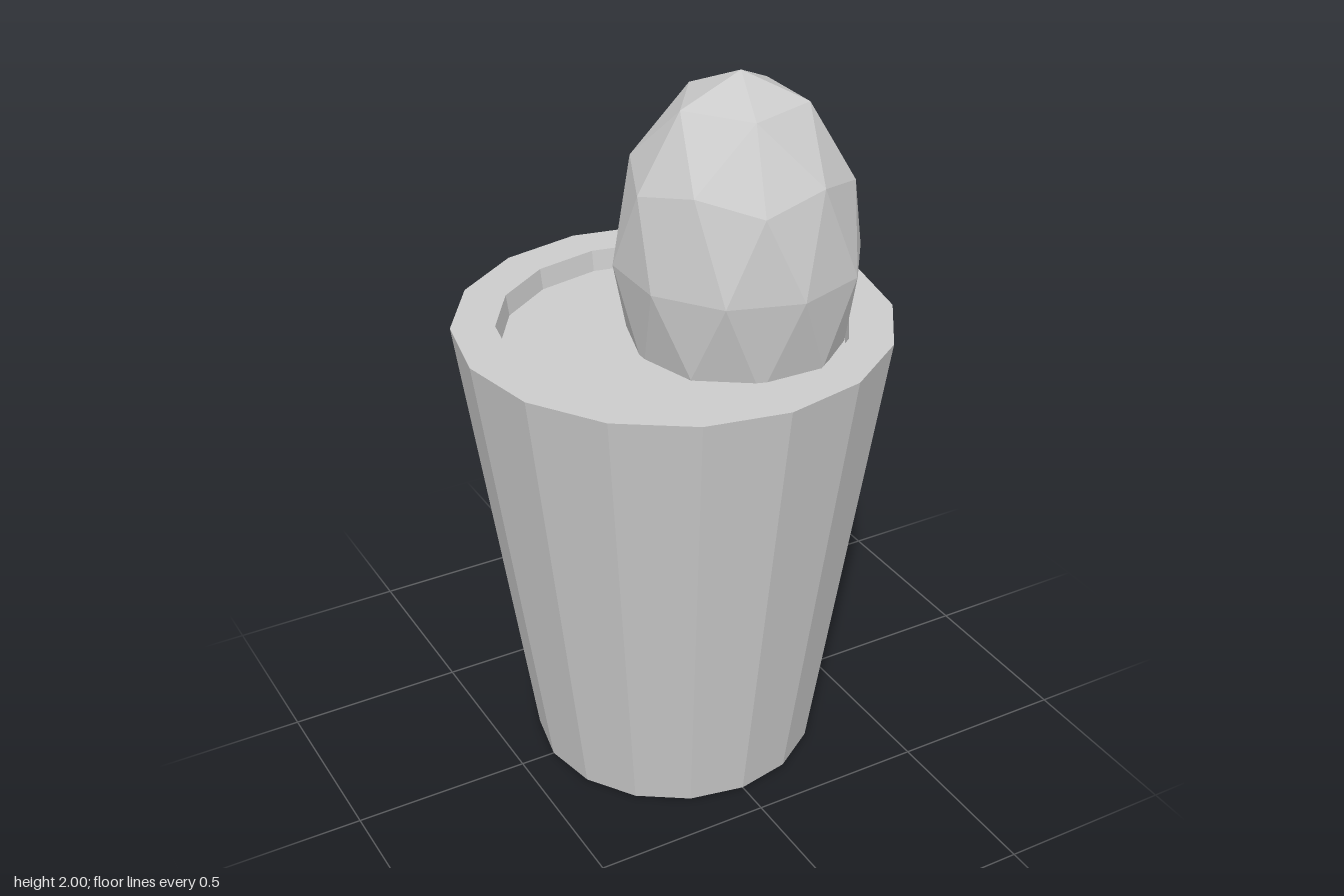
import * as THREE from 'three';

const SIDES = 16;
const RIM_Y = 1.32;
const SOIL_Y = 1.26;

export function createModel() {
  const group = new THREE.Group();
  const material = new THREE.MeshStandardMaterial({ color: 0xcccccc, flatShading: true });

  const add = (name, geometry) => {
    const mesh = new THREE.Mesh(geometry, material);
    mesh.name = name;
    group.add(mesh);
    return mesh;
  };

  // Tapered pot: base, outer wall, flat rim, inner wall down past the soil
  const profile = [[0, 0], [0.4, 0], [0.594, RIM_Y], [0.475, RIM_Y], [0.455, 1.18]];
  const potShape = new THREE.LatheGeometry(profile.map(([r, y]) => new THREE.Vector2(r, y)), SIDES);
  const pot = potShape.toNonIndexed();
  pot.computeVertexNormals();
  add('pot', pot);

  // Soil surface just below the rim
  const soil = new THREE.CircleGeometry(0.467, SIDES);
  soil.rotateX(-Math.PI / 2);
  add('soil', soil).position.y = SOIL_Y;

  // Faceted plant: icosphere turned to stand on a corner, stretched upward
  const plant = new THREE.IcosahedronGeometry(1, 1);
  plant.rotateZ(Math.atan(2 / (1 + Math.sqrt(5))));
  plant.scale(0.335, 0.51, 0.335);
  plant.computeVertexNormals();
  add('plant', plant).position.set(0.16, 1.49, 0.06);

  return group;
}
